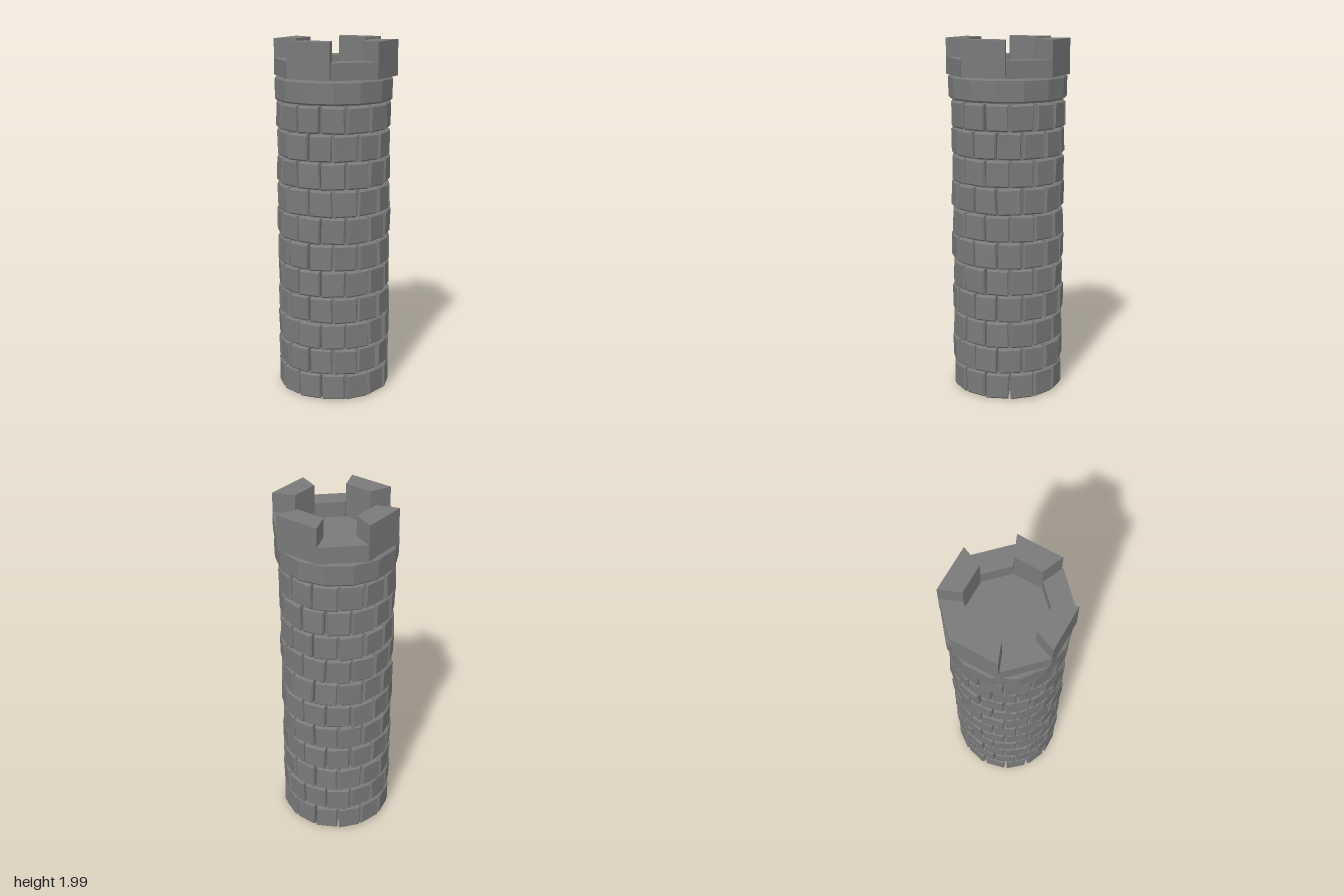
import * as THREE from 'three';
import { mergeGeometries } from 'three/addons/utils/BufferGeometryUtils.js';

const SIDES = 14;            // stones per course
const COURSES = 11;
const PITCH = 0.151;         // height of one course
const STEP = (Math.PI * 2) / SIDES;

const material = new THREE.MeshStandardMaterial({ color: 0x7a7a7a, flatShading: true });

// small seeded generator, returns -1..1
let seed = 7;
function jitter() {
  seed = (seed * 16807) % 2147483647;
  return (seed / 2147483647) * 2 - 1;
}

function add(parent, geometry, name) {
  const mesh = new THREE.Mesh(geometry, material);
  mesh.name = name;
  parent.add(mesh);
}

// One worn block: a box bent to the wall, with chamfered outer edges and uneven corners
function stone(angle, y) {
  const geo = new THREE.BoxGeometry(2, 2, 1, 3, 3, 1);
  const pos = geo.attributes.position;
  const bulge = jitter() * 0.004, tiltU = jitter() * 0.003, tiltV = jitter() * 0.003;
  const skewX = jitter() * 0.008, skewY = jitter() * 0.003;
  const grow = jitter() * 0.008, taper = jitter() * 0.006;
  const spread = (t) => (Math.abs(t) > 0.9 ? Math.sign(t) : Math.sign(t) * 0.88);
  for (let i = 0; i < pos.count; i++) {
    const u = spread(pos.getX(i)), v = spread(pos.getY(i));
    const outer = pos.getZ(i) > 0;
    const rim = Math.abs(u) === 1 || Math.abs(v) === 1;
    const r = outer ? 0.317 + bulge + u * tiltU + v * tiltV - (rim ? 0.009 : 0) : 0.25;
    const a = angle + u * (STEP / 2 - 0.018 + grow + v * taper) + v * skewX;
    pos.setXYZ(i, r * Math.sin(a), y + v * (PITCH / 2 - 0.003) + u * skewY, r * Math.cos(a));
  }
  geo.computeVertexNormals();
  return geo;
}

// One segment of the octagonal parapet
function parapetSegment(start, end, bottom, top) {
  const shape = new THREE.Shape([[0.342, start], [0.342, end], [0.217, end], [0.217, start]]
    .map(([r, a]) => new THREE.Vector2(r * Math.sin(a), -r * Math.cos(a))));
  const geo = new THREE.ExtrudeGeometry(shape, { depth: top - bottom, bevelEnabled: false });
  return geo.rotateX(-Math.PI / 2).translate(0, bottom, 0);
}

export function createModel() {
  const tower = new THREE.Group();
  tower.name = 'tower';

  const shaft = new THREE.Group();
  shaft.name = 'shaft';
  shaft.position.x = -0.01;
  tower.add(shaft);

  // solid core, its top is the floor behind the parapet
  add(shaft, new THREE.CylinderGeometry(0.275, 0.275, 1.77, SIDES * 2).translate(0, 0.925, 0), 'core');

  // courses of stones, every other one shifted by half a stone
  for (let row = 0; row < COURSES; row++) {
    const stones = [];
    for (let i = 0; i < SIDES; i++) {
      stones.push(stone((i + (row % 2) / 2) * STEP, 0.006 + (row + 0.5) * PITCH));
    }
    add(shaft, mergeGeometries(stones), 'stoneCourse');
  }

  // plain band under the parapet
  const bandProfile = [[0.26, 1.672], [0.32, 1.672], [0.329, 1.682], [0.331, 1.79], [0.324, 1.8], [0.26, 1.8]]
    .map(([r, y]) => new THREE.Vector2(r, y));
  add(shaft, new THREE.LatheGeometry(bandProfile, SIDES), 'band');

  // parapet: low walls and tall merlons alternate, with thin joints
  const parapet = new THREE.Group();
  parapet.name = 'parapet';
  tower.add(parapet);
  for (let k = 0; k < 8; k++) {
    const corner = (n) => THREE.MathUtils.degToRad(-4.2 + 45 * n);
    const joint = (n) => (n === 4 ? 0 : 0.009);
    const tall = k % 2 === 1;
    add(parapet,
      parapetSegment(corner(k) + joint(k), corner(k + 1) - joint(k + 1), 1.803, tall ? 2 : 1.895),
      tall ? 'merlon' : 'lowWall');
  }

  return tower;
}
